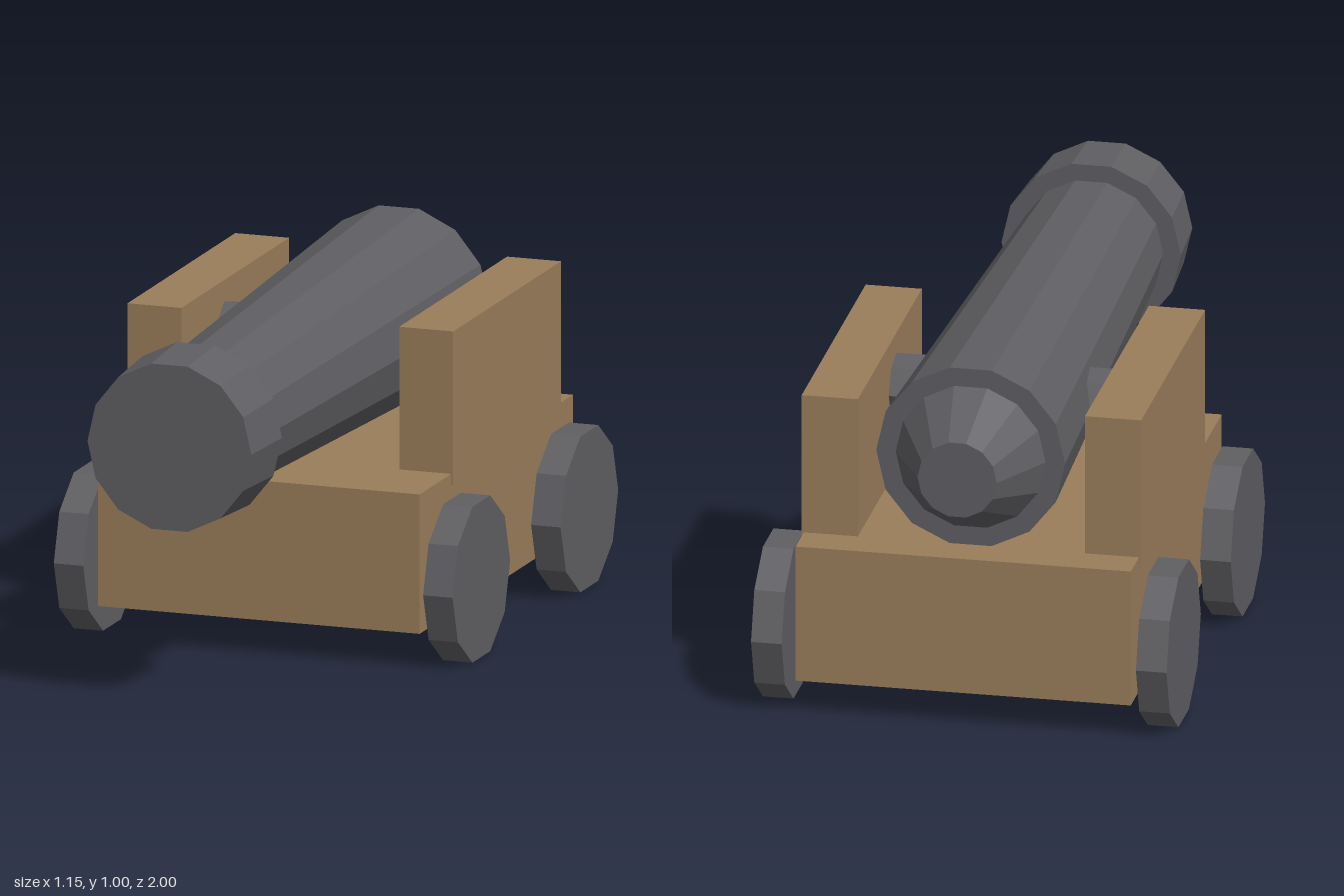
import * as THREE from 'three';

export function createModel() {
  const model = new THREE.Group();
  model.name = 'cannon';

  const iron = new THREE.MeshStandardMaterial({ name: 'iron', color: 0x5f5f63, flatShading: true });
  const wood = new THREE.MeshStandardMaterial({ name: 'wood', color: 0x9a7d5b, flatShading: true });

  function add(name, geometry, material, x, y, z) {
    const mesh = new THREE.Mesh(geometry, material);
    mesh.name = name;
    mesh.position.set(x, y, z);
    model.add(mesh);
  }

  // Tapered 14-sided barrel section running from zBack to zFront
  function barrelSection(name, zBack, zFront, rBack, rFront) {
    const g = new THREE.CylinderGeometry(rFront, rBack, zFront - zBack, 14, 1, false, Math.PI / 14);
    g.rotateX(Math.PI / 2);
    add(name, g, iron, 0, 0.742, (zBack + zFront) / 2);
  }

  // Faceted disc or rod lying along x
  function crossCylinder(name, r, length, sides, start, x, y, z) {
    const g = new THREE.CylinderGeometry(r, r, length, sides, 1, false, start);
    g.rotateZ(Math.PI / 2);
    add(name, g, iron, x, y, z);
  }

  // Barrel
  barrelSection('barrel', -0.82, 0.79, 0.262, 0.2);
  barrelSection('muzzle', 0.79, 1, 0.249, 0.237);
  barrelSection('breech', -1, -0.82, 0.11, 0.208);

  // Pivot rod between the cheeks
  crossCylinder('trunnion', 0.088, 0.632, 7, Math.PI, 0, 0.74, -0.321);

  // Carriage
  add('carriageBase', new THREE.BoxGeometry(0.93, 0.39, 1.215), wood, -0.002, 0.291, -0.3225);
  for (const side of [-1, 1]) {
    const label = side > 0 ? 'left' : 'right';
    add(label + 'Cheek', new THREE.BoxGeometry(0.156, 0.43, 0.855), wood, side * 0.393 - 0.002, 0.67, -0.3925);

    // Wheels
    crossCylinder(label + 'FrontWheel', 0.229, 0.085, 10, 0, side * 0.534, 0.218, 0.107);
    crossCylinder(label + 'BackWheel', 0.229, 0.085, 10, 0, side * 0.534, 0.218, -0.75);
  }

  return model;
}
